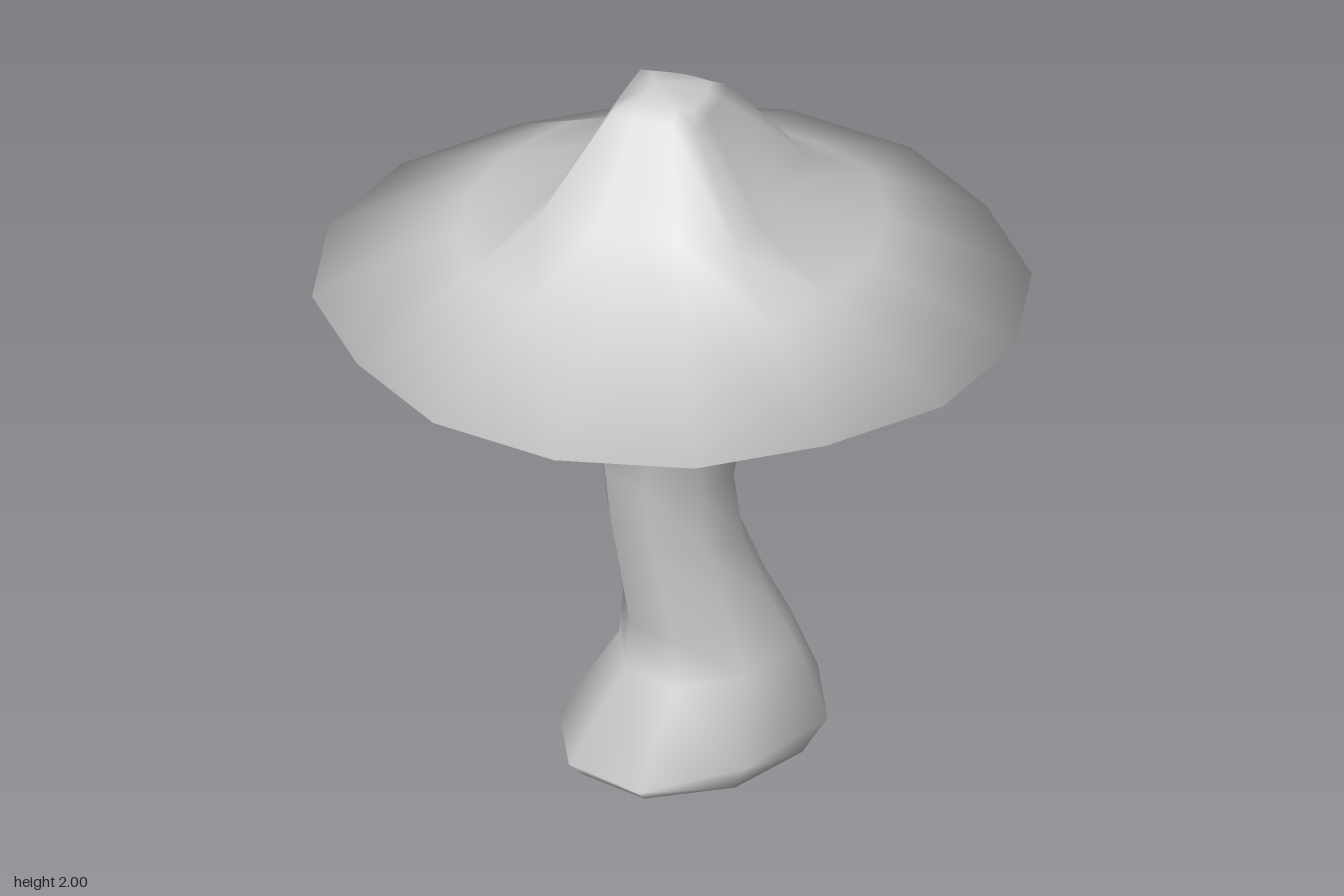
import * as THREE from 'three';
import { mergeVertices } from 'three/addons/utils/BufferGeometryUtils.js';

// Skin a stack of rings, listed from bottom to top.
// ring: [xLow, yLow, xHigh, yHigh, halfDepth, zCentre, roundness]
// roundness: 0 = diamond, 1 = ellipse, above 1 = bulging corners
function loft(rings, sides) {
  const pos = [], index = [];
  rings.forEach(([x0, y0, x1, y1, depth, zc, round], i) => {
    for (let j = 0; j < sides; j++) {
      const a = (j / sides) * Math.PI * 2;
      const c = Math.cos(a), s = Math.sin(a);
      const k = THREE.MathUtils.lerp(1 / (Math.abs(c) + Math.abs(s)), 1, round);
      const t = (c * k + 1) / 2;
      pos.push(x0 + (x1 - x0) * t, y0 + (y1 - y0) * t, zc - s * k * depth);
      if (i === rings.length - 1) continue;
      const p = i * sides + j, q = i * sides + (j + 1) % sides;
      index.push(p, q, p + sides, q, q + sides, p + sides);
    }
  });
  let geo = new THREE.BufferGeometry();
  geo.setAttribute('position', new THREE.Float32BufferAttribute(pos, 3));
  geo.setIndex(index);
  geo = mergeVertices(geo, 1e-4); // closes the poles
  geo.computeVertexNormals();
  return geo;
}

const flatRing = (r, y, round) => [-r, y, r, y, r, 0, round];

export function createModel() {
  const group = new THREE.Group();
  group.name = 'mushroom';
  const material = new THREE.MeshStandardMaterial({ color: 0xcccccc });
  const add = (name, geometry) => {
    const mesh = new THREE.Mesh(geometry, material);
    mesh.name = name;
    group.add(mesh);
  };

  // Bent stem: bulbous foot, narrow waist, flare spreading under the cap
  add('stem', loft([
    [0.1, 0, 0.1, 0, 0, -0.08, 1],
    [-0.25, 0.04, 0.36, 0.07, 0.25, 0, 1.1],
    [-0.29, 0.08, 0.41, 0.19, 0.3, 0, 1.25],
    [-0.13, 0.32, 0.33, 0.38, 0.22, 0, 1.15],
    [-0.11, 0.44, 0.27, 0.5, 0.2, -0.015, 1.1],
    [-0.16, 0.74, 0.2, 0.67, 0.18, -0.02, 1.05],
    [-0.18, 0.9, 0.17, 0.88, 0.18, -0.015, 1],
    [-0.19, 1.04, 0.2, 1.1, 0.2, 0, 1],
    [-0.27, 1.23, 0.28, 1.24, 0.28, 0, 0.7],
    [-0.42, 1.297, 0.41, 1.297, 0.42, 0, 0.6],
    flatRing(0.58, 1.298, 1),
  ], 8));

  // Cap: shallow underside, sharp round rim, ridged shoulder and rounded peak
  add('cap', loft([
    flatRing(0.5, 1.3, 1),
    flatRing(0.6, 1.3, 1),
    flatRing(0.885, 1.41, 1.12),
    flatRing(0.57, 1.59, 0.78),
    flatRing(0.38, 1.7, 0.05),
    [-0.17, 1.95, 0.165, 1.95, 0.165, -0.01, 0.1],
    [-0.1, 1.977, 0.11, 1.98, 0.11, 0, 0.3],
    [-0.035, 2, -0.035, 2, 0, -0.035, 1],
  ], 16));

  return group;
}
